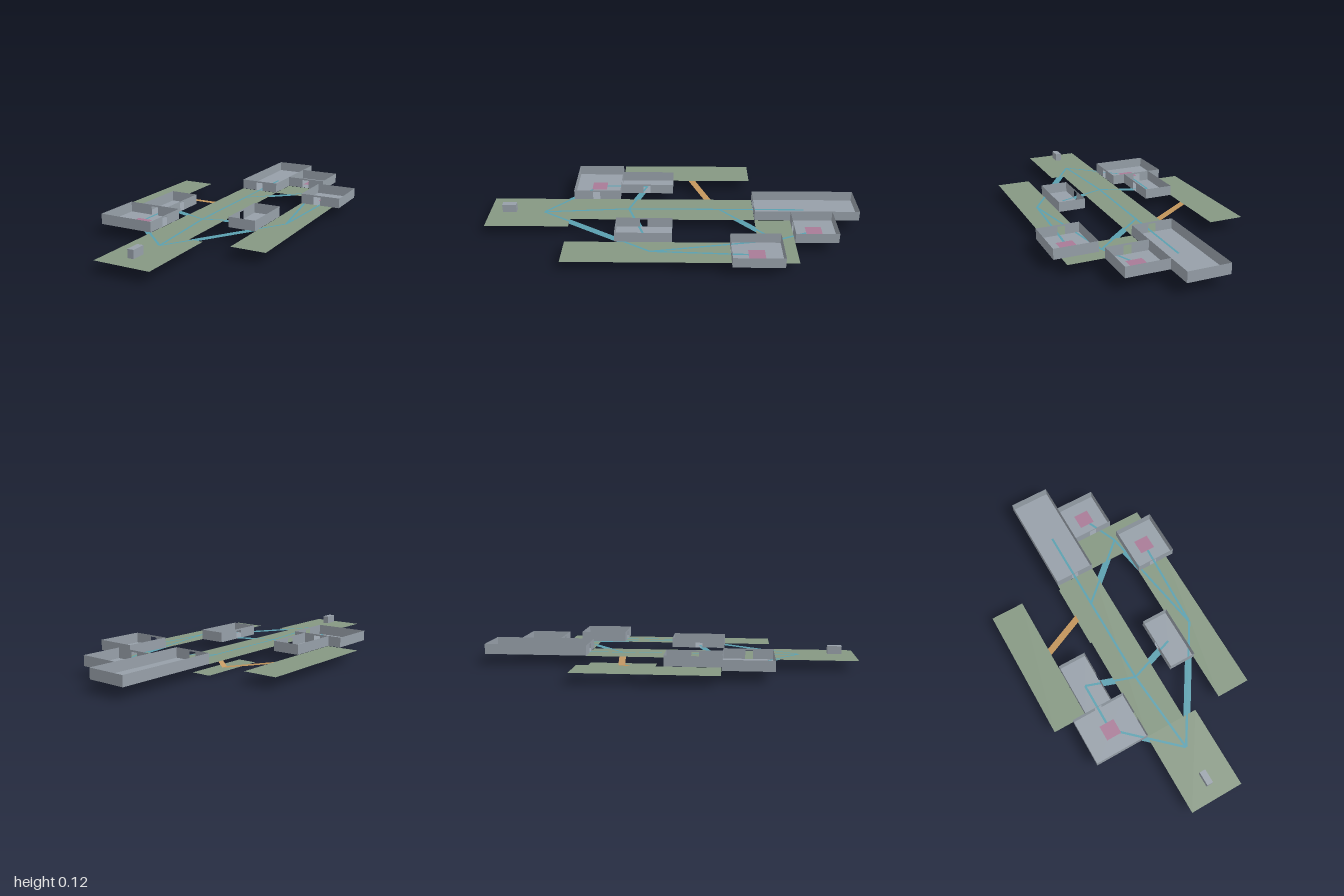
import * as THREE from 'three';

const FLOOR = 0.06, WALL = 0.055, DOOR_W = 0.04, DOOR_H = 0.046;

function material(name, color) {
  const m = new THREE.MeshStandardMaterial({ color, side: THREE.DoubleSide });
  m.name = name;
  return m;
}

export function createModel() {
  const root = new THREE.Group();
  root.name = 'floorLayout';
  const grey = material('room grey', 0x969fa8);
  const green = material('corridor green', 0x859782);
  const teal = material('path teal', 0x5a9fae);
  const orange = material('ramp orange', 0xc0935a);
  const pink = material('marker pink', 0xa87a96);

  function add(parent, name, geometry, mat) {
    const mesh = new THREE.Mesh(geometry, mat);
    mesh.name = name;
    parent.add(mesh);
    return mesh;
  }

  // Flat horizontal plate between two corners
  function plate(parent, name, x0, x1, z0, z1, y, mat) {
    const g = new THREE.PlaneGeometry(x1 - x0, z1 - z0).rotateX(-Math.PI / 2);
    g.translate((x0 + x1) / 2, y, (z0 + z1) / 2);
    return add(parent, name, g, mat);
  }

  // Thin wall from a to b; door is the distance of a doorway centre along it
  function wall(parent, name, ax, az, bx, bz, door) {
    const len = Math.hypot(bx - ax, bz - az);
    const s = new THREE.Shape().moveTo(0, 0);
    if (door !== undefined) {
      const d0 = door - DOOR_W / 2, d1 = door + DOOR_W / 2;
      s.lineTo(d0, 0).lineTo(d0, DOOR_H).lineTo(d1, DOOR_H).lineTo(d1, 0);
    }
    s.lineTo(len, 0).lineTo(len, WALL).lineTo(0, WALL).closePath();
    const mesh = add(parent, name, new THREE.ShapeGeometry(s), grey);
    mesh.position.set(ax, FLOOR, az);
    mesh.rotation.y = -Math.atan2(bz - az, bx - ax);
  }

  // Open room; doors hold the x or z position of the doorway in each wall
  function room(name, x0, x1, z0, z1, doors = {}, marked = false) {
    const g = new THREE.Group();
    g.name = name;
    root.add(g);
    const along = (v, start) => (v === undefined ? undefined : v - start);
    plate(g, 'roomFloor', x0, x1, z0, z1, FLOOR, grey);
    wall(g, 'backWall', x0, z0, x1, z0, along(doors.back, x0));
    wall(g, 'frontWall', x0, z1, x1, z1, along(doors.front, x0));
    wall(g, 'rightWall', x0, z0, x0, z1, along(doors.right, z0));
    wall(g, 'leftWall', x1, z0, x1, z1, along(doors.left, z0));
    if (marked) {
      const x = (x0 + x1) / 2, z = (z0 + z1) / 2, r = 0.042;
      plate(g, 'floorMarker', x - r, x + r, z - r, z + r, FLOOR + 0.002, pink);
    }
  }

  // Flat ribbon joining two points
  function ribbon(name, a, b, width, mat) {
    const p = new THREE.Vector3(...a), q = new THREE.Vector3(...b);
    const d = q.clone().sub(p);
    const side = new THREE.Vector3(-d.z, 0, d.x).setLength(width / 2);
    const pts = [p.clone().sub(side), p.clone().add(side), q.clone().add(side), q.clone().sub(side)];
    const g = new THREE.BufferGeometry().setFromPoints(pts);
    g.setIndex([0, 1, 2, 0, 2, 3]);
    g.computeVertexNormals();
    add(root, name, g, mat);
  }

  // Rooms
  room('backHall', -0.13, 0.09, -1, -0.44, { front: -0.02 });
  room('backSmallRoom', 0.09, 0.312, -0.853, -0.63, { front: 0.2 }, true);
  room('sideRoom', 0.312, 0.535, -0.555, -0.296, { front: 0.405 }, true);
  room('rightMiddleRoom', -0.355, -0.2, 0, 0.295, { left: 0.15, front: -0.28 });
  room('leftMiddleRoom', 0.165, 0.312, 0, 0.295, { right: 0.15 });
  room('frontRoom', -0.43, -0.13, 0.295, 0.555, { left: 0.43, back: -0.28 }, true);

  // Open corridors, a hair under the room floors
  const corridors = [
    ['centralCorridor', -0.13, 0.09, -0.44, 0.553],
    ['frontCourt', -0.13, 0.165, 0.553, 1],
    ['backCorridor', 0.09, 0.495, -0.63, -0.44],
    ['leftCorridor', 0.312, 0.495, -0.3, 0.553],
    ['rightCorridor', -0.54, -0.355, -0.445, 0.292],
  ];
  for (const [name, x0, x1, z0, z1] of corridors) plate(root, name, x0, x1, z0, z1, FLOOR - 0.001, green);
  plate(root, 'lowerPlatform', -0.13, -0.02, -0.44, -0.07, 0, green);

  // Paths: wide bridges under the floors with a narrow trail over them
  const paths = [
    [-0.02, -0.72, -0.02, -0.255], [-0.02, -0.255, -0.02, 0.24],
    [-0.02, -0.255, 0.29, -0.535], [0.2, -0.74, 0.29, -0.535],
    [0.29, -0.535, 0.4, 0.11], [0.425, -0.425, 0.4, 0.11],
    [-0.28, 0.15, -0.02, 0.24], [0.24, 0.15, -0.02, 0.24],
    [-0.28, 0.425, -0.28, 0.15], [-0.28, 0.425, 0.018, 0.7],
    [-0.02, 0.24, 0.018, 0.7], [0.4, 0.11, 0.018, 0.7],
  ];
  for (const [x0, z0, x1, z1] of paths) {
    ribbon('path', [x0, FLOOR - 0.002, z0], [x1, FLOOR - 0.002, z1], 0.037, teal);
    ribbon('trail', [x0, FLOOR + 0.001, z0], [x1, FLOOR + 0.001, z1], 0.012, teal);
  }

  // Ramps down to the lower platform
  ribbon('longRamp', [-0.445, FLOOR - 0.002, -0.075], [-0.075, 0.002, -0.257], 0.037, orange);
  ribbon('shortRamp', [-0.075, 0.002, -0.257], [-0.02, FLOOR - 0.002, -0.257], 0.037, orange);

  // Small block standing in the front court
  const block = add(root, 'courtBlock', new THREE.BoxGeometry(0.033, 0.043, 0.075), grey);
  block.position.set(0.017, 0.09, 0.888);

  return root;
}
